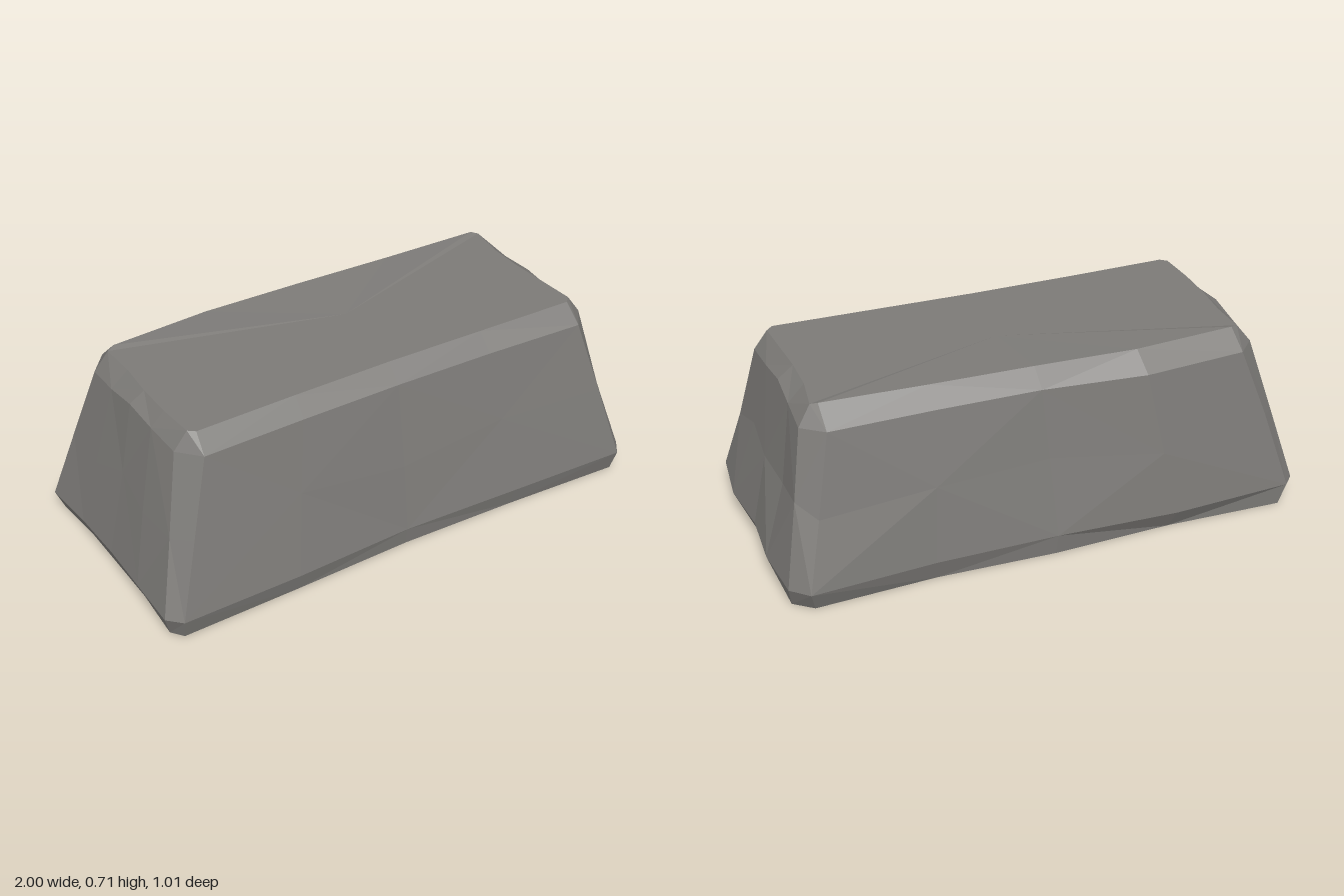
import * as THREE from 'three';

// Each ring holds four sides (front, right, back, left).
// A side is [start, end, five distances outward]; the gaps between sides are the corner chamfers.
const foot = [
  [-0.94, 0.93, [0.50, 0.485, 0.46, 0.48, 0.505]],
  [0.45, -0.45, [0.97, 0.995, 0.97, 0.985, 0.965]],
  [0.90, -0.96, [0.51, 0.475, 0.47, 0.485, 0.455]],
  [-0.41, 0.45, [1.0, 0.985, 0.98, 0.985, 0.99]],
];
const shoulder = [
  [-0.77, 0.79, [0.375, 0.365, 0.36, 0.365, 0.38]],
  [0.29, -0.31, [0.86, 0.855, 0.85, 0.855, 0.86]],
  [0.78, -0.78, [0.38, 0.37, 0.37, 0.405, 0.37]],
  [-0.29, 0.29, [0.85, 0.855, 0.855, 0.85, 0.84]],
];
const crown = [
  [-0.765, 0.785, [0.315, 0.305, 0.30, 0.305, 0.31]],
  [0.285, -0.285, [0.81, 0.80, 0.79, 0.79, 0.81]],
  [0.785, -0.765, [0.30, 0.31, 0.32, 0.33, 0.30]],
  [-0.285, 0.295, [0.795, 0.79, 0.80, 0.80, 0.79]],
];
const ground = [
  [-0.93, 0.92, [0.475, 0.465, 0.45, 0.46, 0.48]],
  [0.43, -0.42, [0.96, 0.95, 0.94, 0.94, 0.95]],
  [0.88, -0.93, [0.475, 0.45, 0.46, 0.44, 0.45]],
  [-0.40, 0.43, [0.965, 0.95, 0.95, 0.95, 0.965]],
];

function ring(sides, height) {
  const points = [];
  sides.forEach(([start, end, out], side) => out.forEach((d, i) => {
    const along = start + (end - start) * i / 4;
    const s = side < 2 ? 1 : -1;
    const [x, z] = side % 2 ? [s * d, along] : [along, s * d];
    points.push(new THREE.Vector3(x, height(side, i), z));
  }));
  return points;
}

// Hammered, slightly uneven waist between foot and shoulder
function waist(low, high) {
  const bulge = [[0, -0.004, 0.01, -0.004, 0], [0, -0.02, 0.006, -0.02, -0.005],
    [-0.005, 0.008, -0.008, 0.01, -0.004], [0, 0.006, -0.012, 0.006, 0]];
  return low.map((p, i) => {
    const q = p.clone().lerp(high[i], 0.5);
    const side = Math.floor(i / 5);
    const b = bulge[side][i % 5] * (side < 2 ? 1 : -1);
    if (side % 2) q.x += b; else q.z += b;
    q.y += 0.03 * Math.sin(i * 2.3);
    return q;
  });
}

function blockGeometry() {
  const footRing = ring(foot, (s, i) => s === 0 ? 0.08 - 0.006 * i * (4 - i) / 2 : 0.08);
  const shoulderRing = ring(shoulder, (s, i) =>
    s % 2 ? [0.63, 0.64, 0.66, 0.645, 0.63][i] : 0.635);
  const rings = [
    ring(ground, () => 0), footRing, waist(footRing, shoulderRing), shoulderRing,
    ring(crown, (s, i) => s === 2 ? 0.707 - 0.002 * (i % 2) : 0.70),
  ];
  const positions = [];
  const tri = (...corners) => corners.forEach((p) => positions.push(p.x, p.y, p.z));
  const n = rings[0].length;
  const bottom = new THREE.Vector3(0, 0, 0);
  const top = new THREE.Vector3(0.05, 0.70, -0.05);
  for (let i = 0; i < n; i++) {
    const j = (i + 1) % n;
    for (let k = 0; k < rings.length - 1; k++) {
      const a = rings[k][i], b = rings[k][j], c = rings[k + 1][j], d = rings[k + 1][i];
      // Alternate the diagonal for irregular facets
      if ((i + k) % 2) { tri(a, b, c); tri(a, c, d); }
      else { tri(a, b, d); tri(b, c, d); }
    }
    tri(bottom, rings[0][j], rings[0][i]);
    tri(top, rings[4][i], rings[4][j]);
  }
  const geometry = new THREE.BufferGeometry();
  geometry.setAttribute('position', new THREE.Float32BufferAttribute(positions, 3));
  geometry.computeVertexNormals(); // unshared corners give flat facets
  return geometry;
}

export function createModel() {
  const stone = new THREE.MeshStandardMaterial({ color: 0x7c7a77 });
  stone.name = 'stone grey';
  const block = new THREE.Mesh(blockGeometry(), stone);
  block.name = 'stoneBlock';
  const group = new THREE.Group();
  group.name = 'taperedStone';
  group.add(block);
  return group;
}
